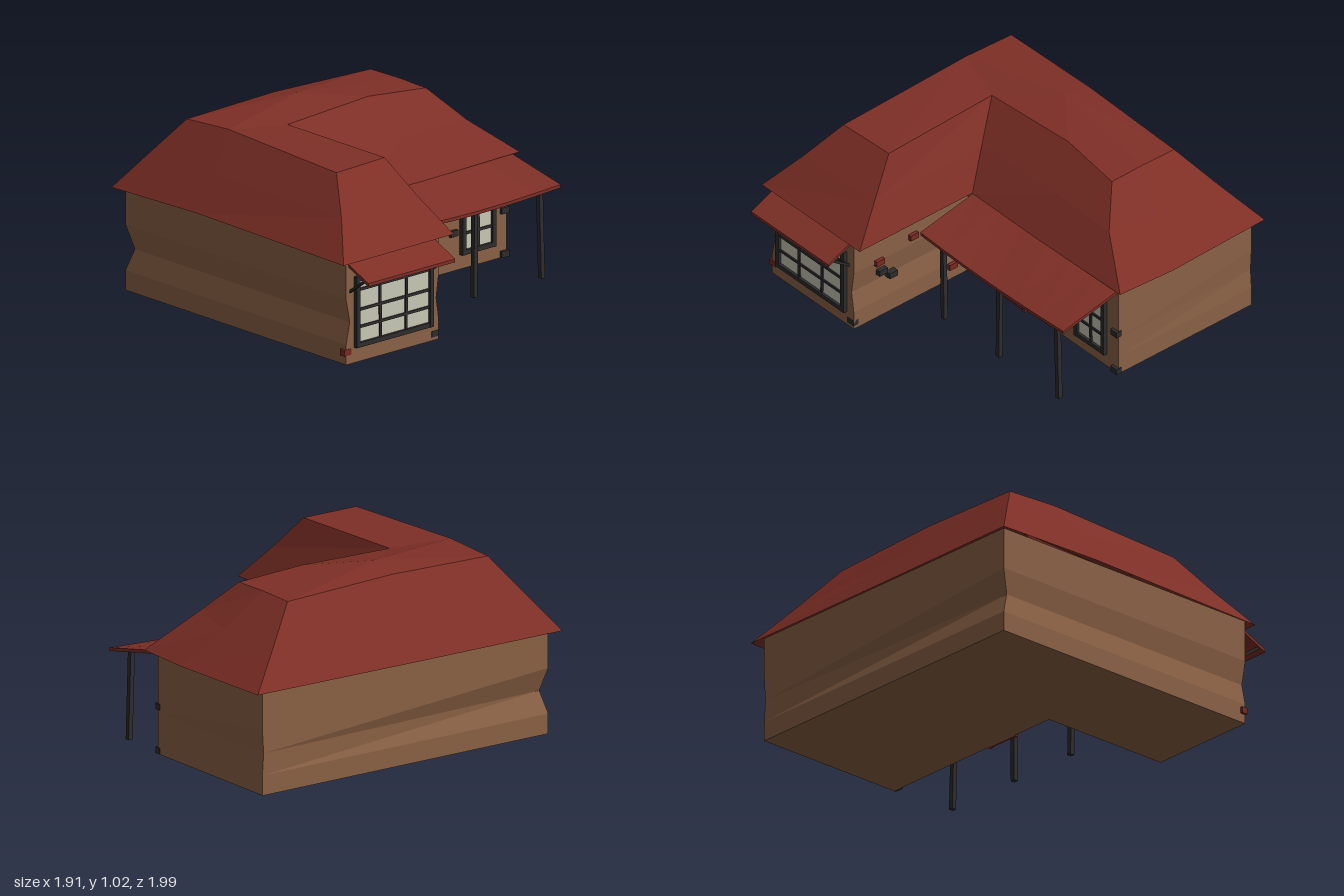
import * as THREE from 'three';

const mat = (name, color, extra = {}) => {
  const m = new THREE.MeshStandardMaterial({ color, ...extra });
  m.name = name;
  return m;
};

export function createModel() {
  const house = new THREE.Group();
  house.name = 'house';
  const clay = mat('clay wall', 0x8a6145);
  const tile = mat('red roof', 0x7e2f26, { side: THREE.DoubleSide });
  const doorRed = mat('door red', 0x7a2a22);
  const wood = mat('dark wood', 0x2e2c2d);
  const glass = mat('pale glass', 0xc8c8b6);

  const add = (name, geo, material, parent = house) => {
    const mesh = new THREE.Mesh(geo, material);
    mesh.name = name;
    parent.add(mesh);
    return mesh;
  };
  const box = (name, material, size, pos, parent = house) => {
    const mesh = add(name, new THREE.BoxGeometry(...size), material, parent);
    mesh.position.set(...pos);
    return mesh;
  };

  // Flat-shaded skin over stacked rings of [x, y, z] points, plus cap triangles
  const loft = (rings, extraPoints, caps) => {
    const n = rings[0].length;
    const index = [];
    for (let r = 0; r < rings.length - 1; r++) {
      for (let i = 0; i < n; i++) {
        const a = r * n + i, b = r * n + (i + 1) % n;
        index.push(a, b, b + n, a, b + n, a + n);
      }
    }
    index.push(...caps.flat());
    const g = new THREE.BufferGeometry();
    g.setAttribute('position', new THREE.Float32BufferAttribute([...rings.flat(), ...extraPoints].flat(), 3));
    g.setIndex(index);
    const flat = g.toNonIndexed();
    flat.computeVertexNormals();
    return flat;
  };

  // L-shaped walls with a dent running around them
  const wallRing = ([y, dent]) => [
    [-0.91 + dent * 1.7, y, 0.935 - dent], [0.8, y, 0.935 - dent], [0.8, y, 0.28 + dent * 0.7],
    [0.01, y, 0.28 + dent * 0.7], [0.01, y, -0.92], [-0.91, y, -0.92 + dent * 0.3],
  ];
  const wallRings = [[0.02, 0], [0.13, 0], [0.25, 0.026], [0.38, 0], [0.61, 0]].map(wallRing);
  add('walls', loft(wallRings, [], [[0, 3, 1], [1, 3, 2], [0, 5, 3], [3, 5, 4]]), clay);

  // Hipped roof: eave, middle and ridge rings, and a slightly raised top
  const eave = [
    [-0.96, 0.585, 0.99], [-0.3, 0.6, 0.985], [0.83, 0.582, 0.98], [0.83, 0.585, 0.2], [0.05, 0.585, 0.2],
    [0.05, 0.58, -0.3], [0.05, 0.59, -0.98], [-0.3, 0.59, -1.0], [-0.95, 0.59, -0.98], [-0.955, 0.585, 0.1],
  ];
  const middle = [
    [-0.8, 0.8, 0.84], [-0.3, 0.79, 0.86], [0.66, 0.77, 0.84], [0.65, 0.77, 0.29], [-0.1, 0.78, 0.295],
    [-0.1, 0.79, -0.3], [-0.09, 0.79, -0.73], [-0.4, 0.78, -0.79], [-0.81, 0.77, -0.78], [-0.81, 0.785, 0.1],
  ];
  const ridge = [
    [-0.67, 0.972, 0.72], [-0.35, 0.99, 0.715], [0.49, 0.955, 0.72], [0.48, 0.96, 0.37], [-0.25, 0.97, 0.39],
    [-0.27, 0.99, -0.2], [-0.24, 0.96, -0.58], [-0.45, 0.965, -0.58], [-0.67, 0.96, -0.58], [-0.67, 0.985, 0.1],
  ];
  const top = [
    [1, 2, 3], [1, 3, 4], [0, 1, 10], [1, 4, 10], [4, 5, 10],
    [5, 6, 10], [6, 7, 10], [7, 8, 10], [8, 9, 10], [9, 0, 10],
  ].map((t) => t.map((i) => i + 20));
  add('mainRoof', loft([eave, middle, ridge], [[-0.5, 1.02, 0.1]], top), tile);

  // Thin slab sloping down toward +x, sagging along its outer edge
  const slopedSlab = (name, x0, x1, z0, z1, yIn, yOut, sag) => {
    const w = x1 - x0, d = z1 - z0;
    const g = new THREE.BoxGeometry(w, 0.018, d, 1, 1, 6);
    const p = g.attributes.position;
    for (let i = 0; i < p.count; i++) {
      const t = p.getX(i) / w + 0.5;
      const s = Math.sin(Math.PI * (p.getZ(i) / d + 0.5));
      p.setY(i, p.getY(i) + yIn + (yOut - yIn) * t - sag * s * t);
    }
    g.translate((x0 + x1) / 2, 0, (z0 + z1) / 2);
    const flat = g.toNonIndexed();
    flat.computeVertexNormals();
    add(name, flat, tile);
  };
  slopedSlab('porchRoof', 0.01, 0.41, -0.94, 0.2, 0.58, 0.497, 0.018);
  slopedSlab('windowAwning', 0.79, 0.955, 0.305, 0.92, 0.568, 0.493, 0);

  // Square beam between two points
  const beam = (name, a, b, thick) => {
    const from = new THREE.Vector3(...a), to = new THREE.Vector3(...b);
    const m = add(name, new THREE.BoxGeometry(thick, from.distanceTo(to), thick), wood);
    m.position.copy(from).add(to).multiplyScalar(0.5);
    m.quaternion.setFromUnitVectors(new THREE.Vector3(0, 1, 0), to.sub(from).normalize());
  };
  for (const [z, lean] of [[0.065, 0.01], [-0.372, -0.005], [-0.85, 0.015]]) {
    beam('porchPost', [0.36, 0, z], [0.36, 0.495, z + lean], 0.026);
  }
  for (const z of [0.905, 0.32]) beam('awningBracket', [0.795, 0.415, z], [0.92, 0.505, z], 0.014);

  // Barred windows facing +x
  const makeWindow = (name, x, z0, z1, y0, y1, bars, rails) => {
    const g = new THREE.Group();
    g.name = name;
    house.add(g);
    const zc = (z0 + z1) / 2, yc = (y0 + y1) / 2, f = 0.026;
    box('pane', glass, [0.008, y1 - y0 - 0.02, z1 - z0 - 0.02], [x + 0.004, yc, zc], g);
    for (const z of [z0 + f / 2, z1 - f / 2]) box('frameSide', wood, [0.036, y1 - y0, f], [x + 0.006, yc, z], g);
    for (const y of [y0 + f / 2, y1 - f / 2]) box('frameEnd', wood, [0.034, f, z1 - z0], [x + 0.006, y, zc], g);
    bars.forEach((z, i) => {
      box('bar', wood, [0.02, y1 - y0, 0.015], [x + 0.006, yc, z], g).rotation.x = i % 2 ? -0.015 : 0.02;
    });
    for (const y of rails) box('rail', wood, [0.018, 0.015, z1 - z0], [x + 0.006, y, zc], g);
  };
  makeWindow('wingWindow', 0.8, 0.335, 0.88, 0.105, 0.495, [0.705, 0.52], [0.42, 0.31, 0.215]);
  makeWindow('porchWindow', 0.01, -0.83, -0.59, 0.1, 0.48, [-0.71], [0.435, 0.31, 0.215]);

  // Door with raised frame and handle
  for (const z of [0.003, -0.188]) box('doorJamb', doorRed, [0.035, 0.41, 0.016], [0.015, 0.225, z]);
  box('doorLintel', doorRed, [0.035, 0.02, 0.21], [0.015, 0.425, -0.092]);
  box('door', doorRed, [0.022, 0.39, 0.18], [0.013, 0.215, -0.092]);
  box('doorHandle', wood, [0.03, 0.025, 0.012], [0.03, 0.16, -0.004]);

  // Loose bricks: [x, y, z], dark or red, on the walls facing +x
  const sideBricks = [
    [0.01, 0.33, -0.28, wood], [0.01, 0.23, -0.54, wood], [0.01, 0.43, -0.57, wood], [0.01, 0.28, -0.9, wood],
    [0.01, 0.04, -0.9, wood], [0.01, 0.11, 0.035, wood], [0.785, 0.055, 0.305, wood], [0.785, 0.087, 0.925, doorRed],
  ];
  for (const [x, y, z, m] of sideBricks) box('brick', m, [0.035, 0.034, 0.05], [x, y, z]);
  // Bricks on the inner wall of the wing
  const innerBricks = [
    [0.63, 0.38, doorRed], [0.395, 0.435, doorRed], [0.61, 0.31, wood], [0.54, 0.26, wood], [0.125, 0.11, doorRed],
  ];
  for (const [x, y, m] of innerBricks) box('brick', m, [0.055, 0.034, 0.05], [x, y, 0.285]);

  return house;
}
